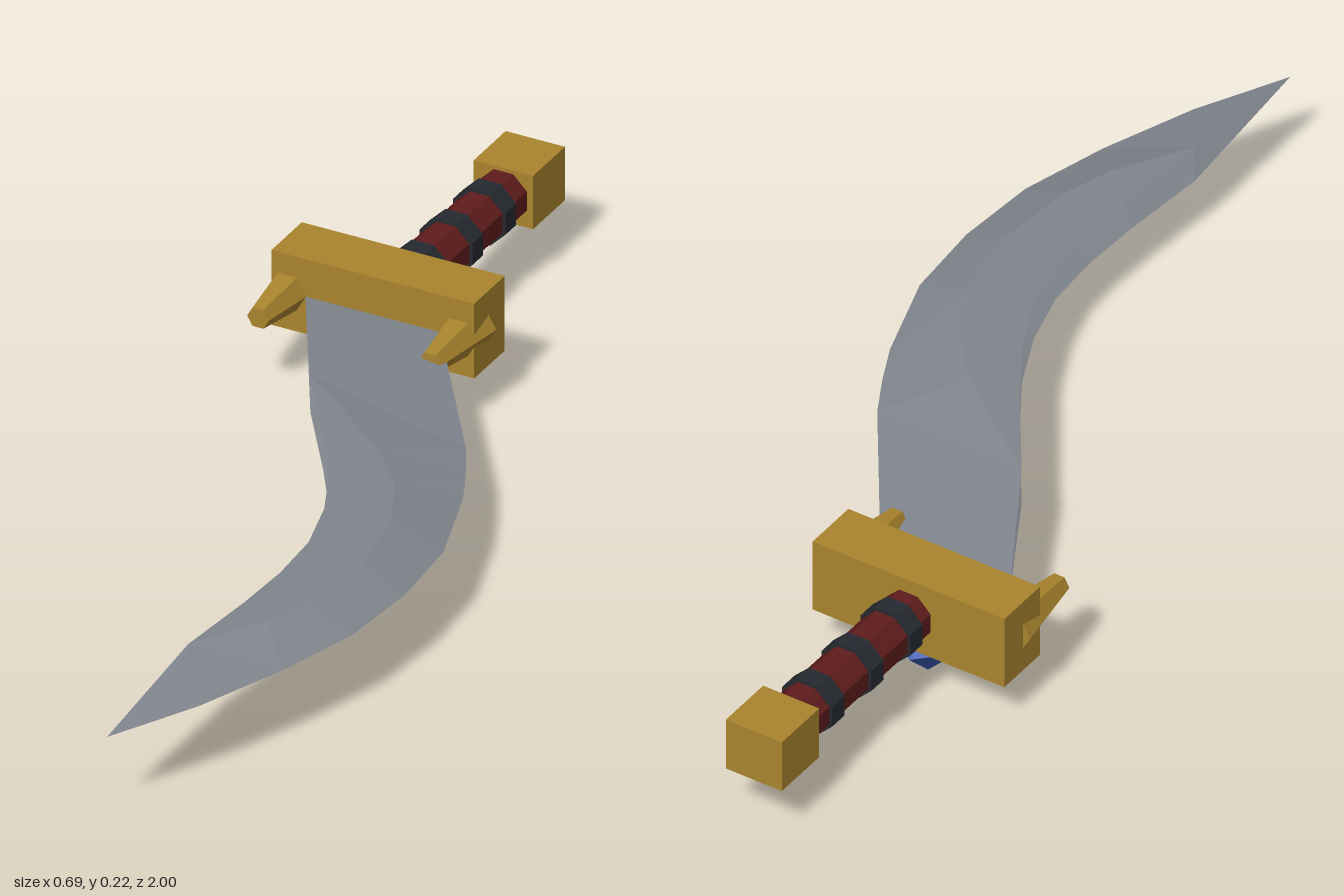
import * as THREE from 'three';

const CX = -0.145; // hilt axis
const CY = 0.15;   // mid height of blade and hilt

const flat = (name, color) => {
  const m = new THREE.MeshStandardMaterial({ color, flatShading: true });
  m.name = name;
  return m;
};

// Curved blade: hollow inner side, flat crescent on each face, bevelled cutting edge.
function bladeGeometry() {
  const H = 0.035;
  // inner edge x,z | ridge x,z | cutting edge x,z | half height | groove depth fraction
  const stations = [
    [-0.27, -0.44, -0.27, -0.44, -0.02, -0.44, 0, 0],
    [-0.11, -0.16, -0.11, -0.16, 0.20, -0.12, H, 0.25],
    [0.00, 0.00, 0.10, 0.00, 0.24, -0.045, H, 0.3],
    [0.07, 0.11, 0.18, 0.09, 0.275, 0.03, H, 0.35],
    [0.12, 0.22, 0.235, 0.20, 0.33, 0.20, H, 0.4],
    [0.15, 0.33, 0.26, 0.35, 0.342, 0.355, H, 0.4],
    [0.157, 0.44, 0.245, 0.50, 0.33, 0.51, H, 0.4],
    [0.152, 0.555, 0.215, 0.59, 0.285, 0.67, H, 0.4],
    [0.137, 0.72, 0.137, 0.72, 0.22, 0.84, H, 0.35],
    [0.137, 1.0, 0.137, 1.0, 0.137, 1.0, 0, 0],
  ];
  const rings = stations.map(([lx, lz, mx, mz, rx, rz, h, g]) => [
    [rx, CY, rz],
    [mx, CY + h, mz],
    [lx, CY + h, lz],
    [lx + (rx - lx) * g, CY, lz + (rz - lz) * g],
    [lx, CY - h, lz],
    [mx, CY - h, mz],
  ]);
  const pos = [];
  for (let i = 0; i < rings.length - 1; i++) {
    for (let k = 0; k < 6; k++) {
      const n = (k + 1) % 6;
      const a = rings[i][k], b = rings[i][n], c = rings[i + 1][n], d = rings[i + 1][k];
      pos.push(...a, ...b, ...c, ...a, ...c, ...d);
    }
  }
  const geo = new THREE.BufferGeometry();
  geo.setAttribute('position', new THREE.Float32BufferAttribute(pos, 3));
  geo.computeVertexNormals();
  return geo;
}

export function createModel() {
  const group = new THREE.Group();
  group.name = 'curvedDagger';

  const gold = flat('gold', 0xa8842d);
  const steel = flat('steel', 0x80858d);
  const blue = flat('blueGem', 0x3558b0);
  const red = flat('redGrip', 0x5e1c1c);
  const dark = flat('darkBand', 0x25292f);

  const add = (name, geo, mat, x = 0, y = 0, z = 0) => {
    const mesh = new THREE.Mesh(geo, mat);
    mesh.name = name;
    mesh.position.set(x, y, z);
    group.add(mesh);
    return mesh;
  };
  // Prism along z; rFront is the radius at the +z end.
  const rod = (rFront, rBack, length, sides, turn) =>
    new THREE.CylinderGeometry(rFront, rBack, length, sides).rotateY(turn).rotateX(Math.PI / 2);

  add('blade', bladeGeometry(), steel);

  // Guard with two forward prongs
  add('guard', new THREE.BoxGeometry(0.376, 0.14, 0.105), gold, CX, CY, -0.4925);
  for (const s of [-1, 1]) {
    add(s < 0 ? 'rightProng' : 'leftProng', rod(0.02, 0.043, 0.15, 6, Math.PI / 6),
      gold, CX + s * 0.159, CY, -0.415);
  }

  // Grip with three bands
  add('grip', rod(0.047, 0.047, 0.36, 8, Math.PI / 8), red, CX, CY, -0.72);
  for (const z of [-0.595, -0.71, -0.825]) {
    add('gripBand', rod(0.053, 0.053, 0.036, 8, Math.PI / 8), dark, CX, CY, z);
  }

  // Pommel
  add('pommel', new THREE.BoxGeometry(0.11, 0.1, 0.11), gold, CX, CY, -0.945);

  // Gems set into the undersides
  add('guardGem', new THREE.OctahedronGeometry(0.055), blue, CX, 0.055, -0.488);
  add('pommelGem', new THREE.OctahedronGeometry(0.036), blue, CX, 0.1, -0.945);

  return group;
}
